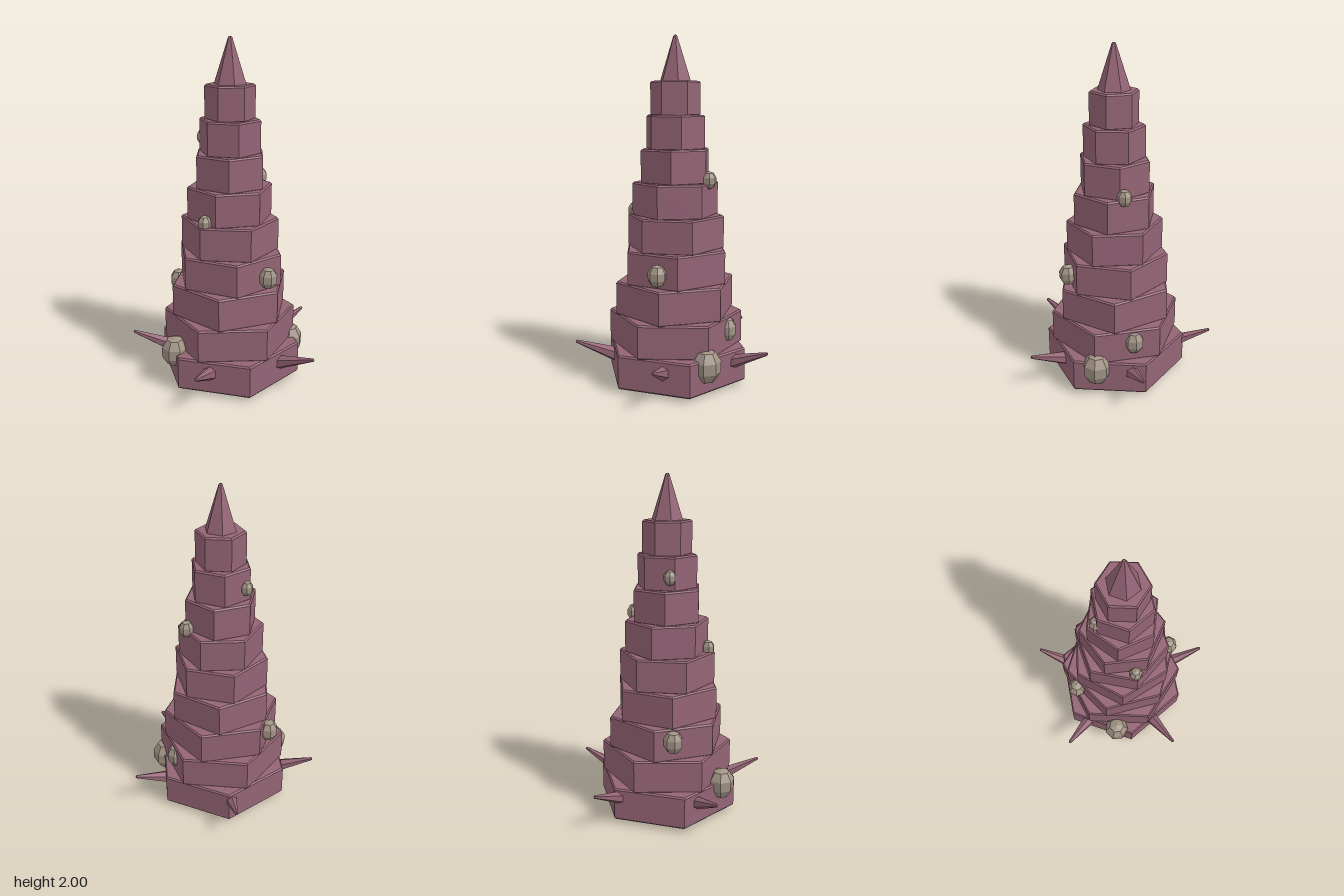
import * as THREE from 'three';

const SIDES = 6;
const CENTER_X = 0.004, CENTER_Z = 0.047;

// Faceted look: every face gets its own normal
function faceted(geometry) {
  const g = geometry.index ? geometry.toNonIndexed() : geometry;
  g.computeVertexNormals();
  return g;
}

// Closed hexagonal solid from [radius, height] pairs, bottom to top
function hexSolid(profile) {
  return faceted(new THREE.LatheGeometry(profile.map(([r, y]) => new THREE.Vector2(r, y)), SIDES));
}

export function createModel() {
  const group = new THREE.Group();
  const shell = new THREE.MeshStandardMaterial({ color: 0x946475 });
  shell.name = 'dusky mauve';
  const stone = new THREE.MeshStandardMaterial({ color: 0xa09284 });
  stone.name = 'warm grey stone';

  const add = (name, geometry, material, parent = group) => {
    const mesh = new THREE.Mesh(geometry, material);
    mesh.name = name;
    parent.add(mesh);
    return mesh;
  };

  // Twisting, shrinking hexagonal tiers with small chamfers
  const tower = new THREE.Group();
  tower.name = 'tower';
  tower.position.set(CENTER_X, 0, CENTER_Z);
  group.add(tower);
  const step = 0.1907, bevel = 0.009;
  for (let i = 0; i < 9; i++) {
    const r = 0.426 - 0.0354 * i;
    const y0 = i === 0 ? 0.022 : 0.022 + step * i;
    const y1 = 0.22 + step * i;
    const tier = add(`tier${i + 1}`, hexSolid([
      [0, y0], [r - bevel, y0], [r, y0 + bevel], [r, y1 - bevel], [r - bevel, y1], [0, y1],
    ]), shell, tower);
    tier.rotation.y = 0.3 * i;
  }

  // Pointed cap with a tiny blunt tip
  add('cap', hexSolid([[0, 1.735], [0.096, 1.735], [0.012, 1.994], [0.007, 2], [0, 2]]), shell, tower);

  // Five root spikes running from inside the base, outward and up
  const inner = new THREE.Vector2(0.15, 0.067), tip = new THREE.Vector2(0.59, 0.235);
  const axis = tip.clone().sub(inner);
  const length = axis.length(), lift = axis.angle();
  for (let i = 0; i < 5; i++) {
    const pivot = new THREE.Group();
    pivot.name = `spike${i + 1}`;
    pivot.rotation.y = THREE.MathUtils.degToRad(38.2 + 72 * i);
    tower.add(pivot);
    const spike = add('rootSpike', hexSolid([
      [0, 0], [0.072, 0], [0.01, length - 0.005], [0.006, length], [0, length],
    ]), shell, pivot);
    spike.position.set(0, inner.y, inner.x);
    spike.rotation.x = Math.PI / 2 - lift;
  }

  // Stones lodged in the sides: x, y, z, radius
  const stones = [
    [-0.36, 0.21, 0.148, 0.08],
    [0.36, 0.178, 0.125, 0.086],
    [0.3, 0.33, -0.088, 0.061],
    [-0.262, 0.53, -0.158, 0.058],
    [0.157, 0.68, 0.31, 0.055],
    [-0.185, 1.0, 0.2, 0.041],
    [0.21, 1.19, -0.027, 0.044],
    [-0.128, 1.44, -0.058, 0.038],
  ];
  stones.forEach(([x, y, z, r], i) => {
    const g = faceted(new THREE.SphereGeometry(r, 7, 5));
    const rock = add(`stone${i + 1}`, g, stone);
    rock.position.set(x, y, z);
    rock.scale.y = 1.18;
    rock.rotation.y = i * 1.3;
  });

  return group;
}
